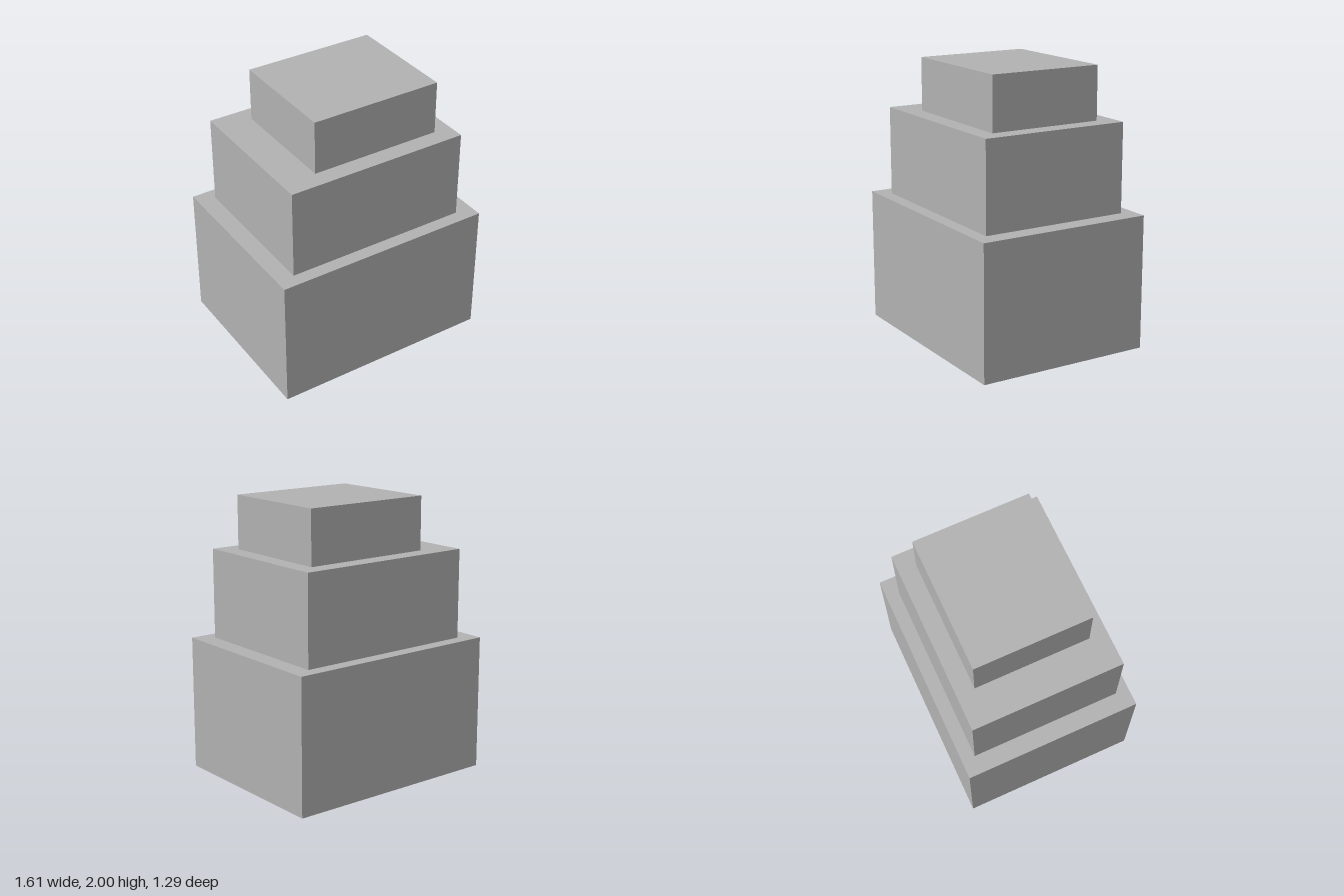
import * as THREE from 'three';

// Tiers from bottom to top: side limits in x, half depth in z, and height range
const TIERS = [
  { name: 'lowerTier', x0: -0.805, x1: 0.805, hz: 0.644, y0: 0, y1: 0.97 },
  { name: 'middleTier', x0: -0.675, x1: 0.673, hz: 0.547, y0: 0.97, y1: 1.615 },
  { name: 'upperTier', x0: -0.42, x1: 0.544, hz: 0.418, y0: 1.615, y1: 2 },
];

// Rectangle outline of a tier
function outline(path, { x0, x1, hz }) {
  path.moveTo(x0, -hz);
  path.lineTo(x1, -hz);
  path.lineTo(x1, hz);
  path.lineTo(x0, hz);
  path.closePath();
  return path;
}

// Four walls of a tier: a box without its top and bottom faces
function wallGeometry({ x0, x1, hz, y0, y1 }) {
  const g = new THREE.BoxGeometry(x1 - x0, y1 - y0, hz * 2);
  const index = Array.from(g.index.array);
  g.setIndex([...index.slice(0, 12), ...index.slice(24)]);
  g.clearGroups();
  g.translate((x0 + x1) / 2, (y0 + y1) / 2, 0);
  return g;
}

// Flat roof of a tier, open where the next tier rises from it
function roofGeometry(tier, next) {
  const shape = outline(new THREE.Shape(), tier);
  if (next) shape.holes.push(outline(new THREE.Path(), next));
  const g = new THREE.ShapeGeometry(shape);
  g.rotateX(-Math.PI / 2);
  g.translate(0, tier.y1, 0);
  return g;
}

export function createModel() {
  const model = new THREE.Group();
  model.name = 'steppedBlock';
  const grey = new THREE.MeshStandardMaterial({ color: 0xb2b2b2, side: THREE.DoubleSide });
  grey.name = 'plainGrey';

  // Hollow shell, open at the ground
  TIERS.forEach((tier, i) => {
    const group = new THREE.Group();
    group.name = tier.name;
    const walls = new THREE.Mesh(wallGeometry(tier), grey);
    walls.name = tier.name + 'Walls';
    const roof = new THREE.Mesh(roofGeometry(tier, TIERS[i + 1]), grey);
    roof.name = tier.name + (TIERS[i + 1] ? 'Ledge' : 'Roof');
    group.add(walls, roof);
    model.add(group);
  });
  return model;
}
